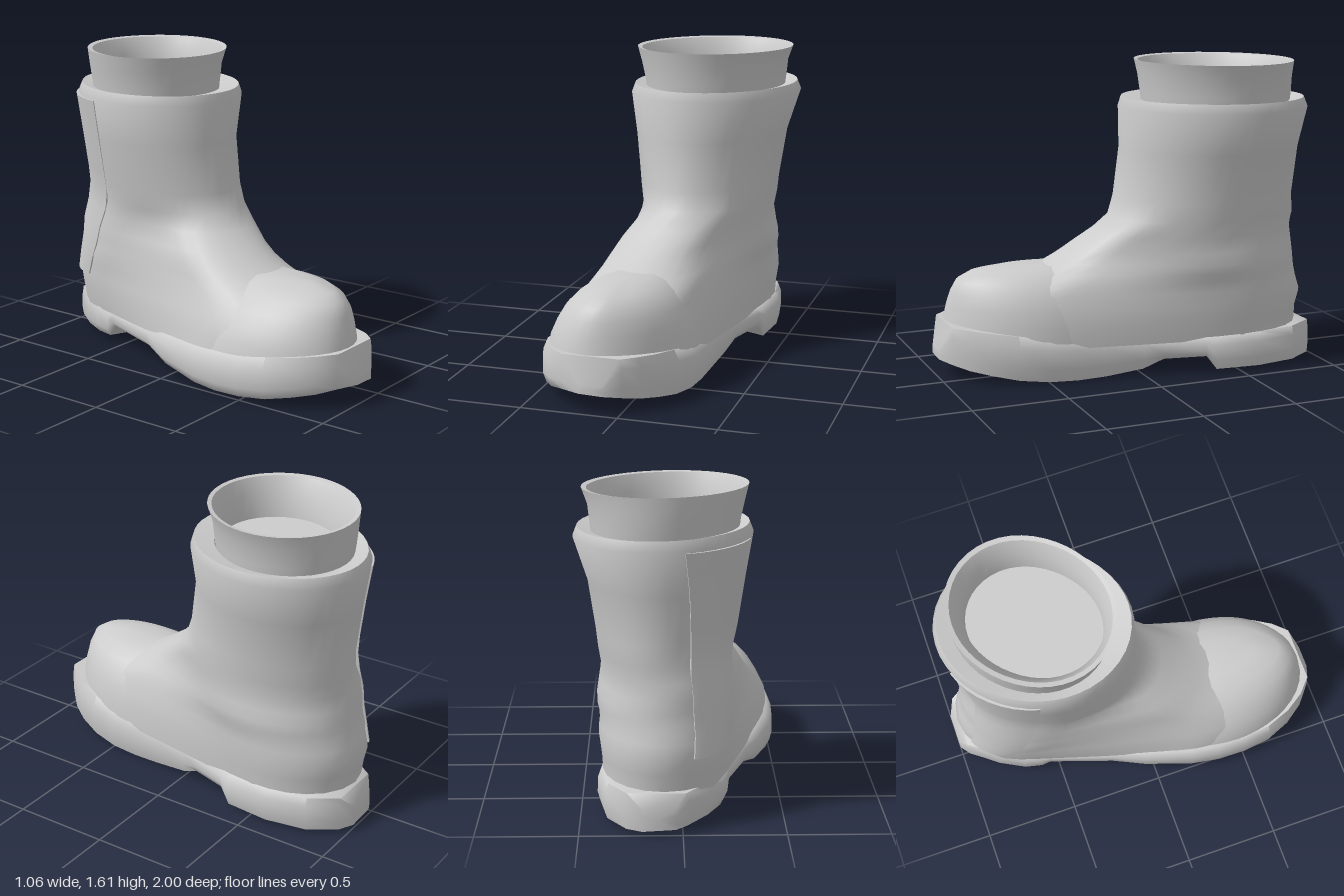
import * as THREE from 'three';
import { toCreasedNormals } from 'three/addons/utils/BufferGeometryUtils.js';

const N = 44;
const TILT = 0.028;

// Skin a list of closed rings; optional fans close either end.
function loft(rings, capStart, capEnd, crease = 0.8) {
  const n = rings[0].length, pos = [], idx = [];
  rings.forEach(r => r.forEach(p => pos.push(p.x, p.y, p.z)));
  for (let i = 0; i < rings.length - 1; i++) {
    for (let j = 0; j < n; j++) {
      const k = (j + 1) % n;
      const a = i * n + j, b = i * n + k, d = a + n, c = b + n;
      idx.push(a, d, b, b, d, c);
    }
  }
  const cap = (ringIndex, flip) => {
    const m = new THREE.Vector3();
    rings[ringIndex].forEach(p => m.addScaledVector(p, 1 / n));
    const centre = pos.length / 3;
    pos.push(m.x, m.y, m.z);
    for (let j = 0; j < n; j++) {
      const a = ringIndex * n + j, b = ringIndex * n + (j + 1) % n;
      if (flip) idx.push(centre, b, a); else idx.push(centre, a, b);
    }
  };
  if (capStart) cap(0, false);
  if (capEnd) cap(rings.length - 1, true);
  const g = new THREE.BufferGeometry();
  g.setAttribute('position', new THREE.Float32BufferAttribute(pos, 3));
  g.setIndex(idx);
  return toCreasedNormals(g, crease);
}

// Point on the ellipse filling the box x0..x1, z0..z1.
const onEllipse = ([x0, x1, z0, z1], t, grow = 0) => new THREE.Vector2(
  (x0 + x1) / 2 + ((x1 - x0) / 2 + grow) * Math.cos(t),
  (z0 + z1) / 2 + ((z1 - z0) / 2 + grow) * Math.sin(t));

// Outline wrapped around an ankle ellipse and, low down, a foot ellipse.
// Above the foot the oval leans towards one diagonal.
function outline(y, ankle, foot) {
  const pts = [];
  for (let i = 0; i <= 180; i++) {
    const t = -Math.PI / 2 + i / 180 * Math.PI * 2;
    const dir = new THREE.Vector2(Math.cos(t), Math.sin(t));
    const support = (e, grow) =>
      onEllipse(e, Math.atan2((e[3] - e[2]) * dir.y, (e[1] - e[0]) * dir.x), grow);
    let p = support(ankle, foot ? 0 : -TILT * Math.sin(2 * t));
    if (foot) {
      const q = support(foot, 0);
      if (q.dot(dir) > p.dot(dir)) p = q;
    }
    pts.push(p);
  }
  const ring = new THREE.Shape(pts).getSpacedPoints(N).slice(0, N);
  return ring.map(p => new THREE.Vector3(p.x, y, p.y));
}

// Height, ankle box, foot box.
const LEVELS = [
  [0.17, [-0.21, 0.39, -0.94, -0.2], [-0.48, 0.23, -0.15, 0.85]],
  [0.28, [-0.24, 0.40, -0.95, -0.15], [-0.47, 0.22, -0.1, 0.85]],
  [0.36, [-0.24, 0.41, -0.97, -0.15], [-0.44, 0.2, -0.1, 0.82]],
  [0.43, [-0.25, 0.41, -0.95, -0.12], [-0.4, 0.19, -0.12, 0.73]],
  [0.49, [-0.26, 0.41, -0.94, -0.08], [-0.365, 0.19, -0.15, 0.58]],
  [0.53, [-0.26, 0.42, -0.93, -0.05], [-0.345, 0.19, -0.18, 0.47]],
  [0.58, [-0.26, 0.42, -0.925, -0.02], [-0.325, 0.19, -0.22, 0.37]],
  [0.64, [-0.26, 0.41, -0.92, 0], [-0.295, 0.2, -0.25, 0.28]],
  [0.72, [-0.25, 0.40, -0.91, 0.03], [-0.24, 0.24, -0.28, 0.17]],
  [0.8, [-0.265, 0.41, -0.9, 0.085]],
  [0.9, [-0.285, 0.42, -0.89, 0.05]],
  [1.15, [-0.32, 0.455, -0.915, 0.01]],
  [1.37, [-0.355, 0.525, -0.95, 0.015]],
  [1.42, [-0.335, 0.505, -0.93, 0]],
  [1.4, [-0.27, 0.43, -0.84, -0.11]],
];

// Rounded toe cap: height and box.
const TOE = [
  [0.17, [-0.5, 0.235, -0.1, 0.95]],
  [0.28, [-0.485, 0.225, -0.05, 0.93]],
  [0.36, [-0.445, 0.2, 0, 0.915]],
  [0.43, [-0.4, 0.17, 0.05, 0.895]],
  [0.49, [-0.34, 0.12, 0.1, 0.865]],
  [0.53, [-0.275, 0.065, 0.15, 0.8]],
  [0.555, [-0.2, 0, 0.2, 0.66]],
];

// Ankle box at any height.
function ankleAt(y) {
  let i = 0;
  while (i < 11 && LEVELS[i + 1][0] < y) i++;
  const [y0, a] = LEVELS[i], [y1, b] = LEVELS[i + 1];
  return a.map((v, k) => THREE.MathUtils.lerp(v, b[k], (y - y0) / (y1 - y0)));
}

// Sole stations from heel to toe: z, low x, high x, bottom, top, skew of the low-x side.
const SOLE = [
  [-1, 0.03, 0.2, 0.02, 0.13, 0],
  [-0.96, -0.03, 0.28, 0.02, 0.2, 0],
  [-0.82, -0.14, 0.38, 0.02, 0.2, 0],
  [-0.6, -0.21, 0.42, 0.02, 0.2, 0.09],
  [-0.36, -0.23, 0.4, 0.02, 0.19, 0.24],
  [-0.31, -0.24, 0.38, 0.09, 0.19, 0.24],
  [-0.1, -0.35, 0.31, 0.08, 0.19, 0.12],
  [0, -0.42, 0.28, 0.03, 0.2, 0.05],
  [0.2, -0.5, 0.26, 0.005, 0.21, 0],
  [0.35, -0.525, 0.255, 0, 0.22, 0],
  [0.5, -0.53, 0.245, 0.005, 0.23, 0],
  [0.65, -0.515, 0.21, 0.02, 0.25, 0],
  [0.78, -0.465, 0.155, 0.045, 0.265, 0],
  [0.88, -0.395, 0.085, 0.065, 0.275, 0],
  [0.95, -0.31, 0.01, 0.085, 0.28, 0],
  [1, -0.2, -0.07, 0.1, 0.15, 0],
];
const SOLE_SECTION = [[-0.94, 0.08], [-1, 0.3], [-0.99, 0.75], [-0.92, 1],
  [0.92, 1], [0.99, 0.75], [1, 0.3], [0.95, 0]];

export function createModel() {
  const boot = new THREE.Group();
  boot.name = 'boot';
  const material = new THREE.MeshStandardMaterial({ color: 0xcccccc, side: THREE.DoubleSide });
  const add = (name, geometry) => {
    const mesh = new THREE.Mesh(geometry, material);
    mesh.name = name;
    boot.add(mesh);
  };

  // Foot and shaft in one skin, ending in the rolled collar
  add('upper', loft(LEVELS.map(l => outline(...l)), true, false, 0.9));
  add('toeCap', loft(TOE.map(l => outline(...l)), true, true, 0.9));

  // Sole with a raised arch, slanted heel step and upturned toe
  add('sole', loft(SOLE.map(([z, x0, x1, y0, y1, skew]) => SOLE_SECTION.map(([u, v]) =>
    new THREE.Vector3((x0 + x1) / 2 + u * (x1 - x0) / 2, y0 + v * (y1 - y0),
      z - skew * (1 - u) / 2))), true, true, 1.2));

  // Flared sock lining with a thin lip and a shallow inner floor
  const lining = [
    [1.36, [-0.28, 0.43, -0.85, -0.12]],
    [1.44, [-0.29, 0.44, -0.86, -0.11]],
    [1.53, [-0.31, 0.45, -0.865, -0.1]],
    [1.61, [-0.33, 0.48, -0.87, -0.08]],
    [1.605, [-0.305, 0.455, -0.845, -0.1]],
    [1.52, [-0.255, 0.41, -0.795, -0.135]],
    [1.4, [-0.24, 0.4, -0.785, -0.145]],
  ];
  add('lining', loft(lining.map(l => outline(...l)), false, true));

  // Slightly raised tapering panel on the rear side of the shaft
  const panel = [];
  for (let i = 0; i <= 10; i++) {
    const y = 0.36 + i * 0.1, box = ankleAt(y), half = 0.34 + 0.022 * i, ring = [];
    const tilt = TILT * THREE.MathUtils.clamp((y - 0.72) / 0.08, 0, 1);
    for (const side of [1, -1]) {
      for (let j = 0; j <= 8; j++) {
        const u = side * (j / 4 - 1), t = Math.PI * 1.25 + u * half;
        const grow = side > 0 ? 0.006 + 0.008 * (1 - u * u) : -0.03;
        const p = onEllipse(box, t, grow - tilt * Math.sin(2 * t));
        ring.push(new THREE.Vector3(p.x, y, p.y));
      }
    }
    panel.push(ring);
  }
  add('rearPanel', loft(panel, true, true));
  return boot;
}
